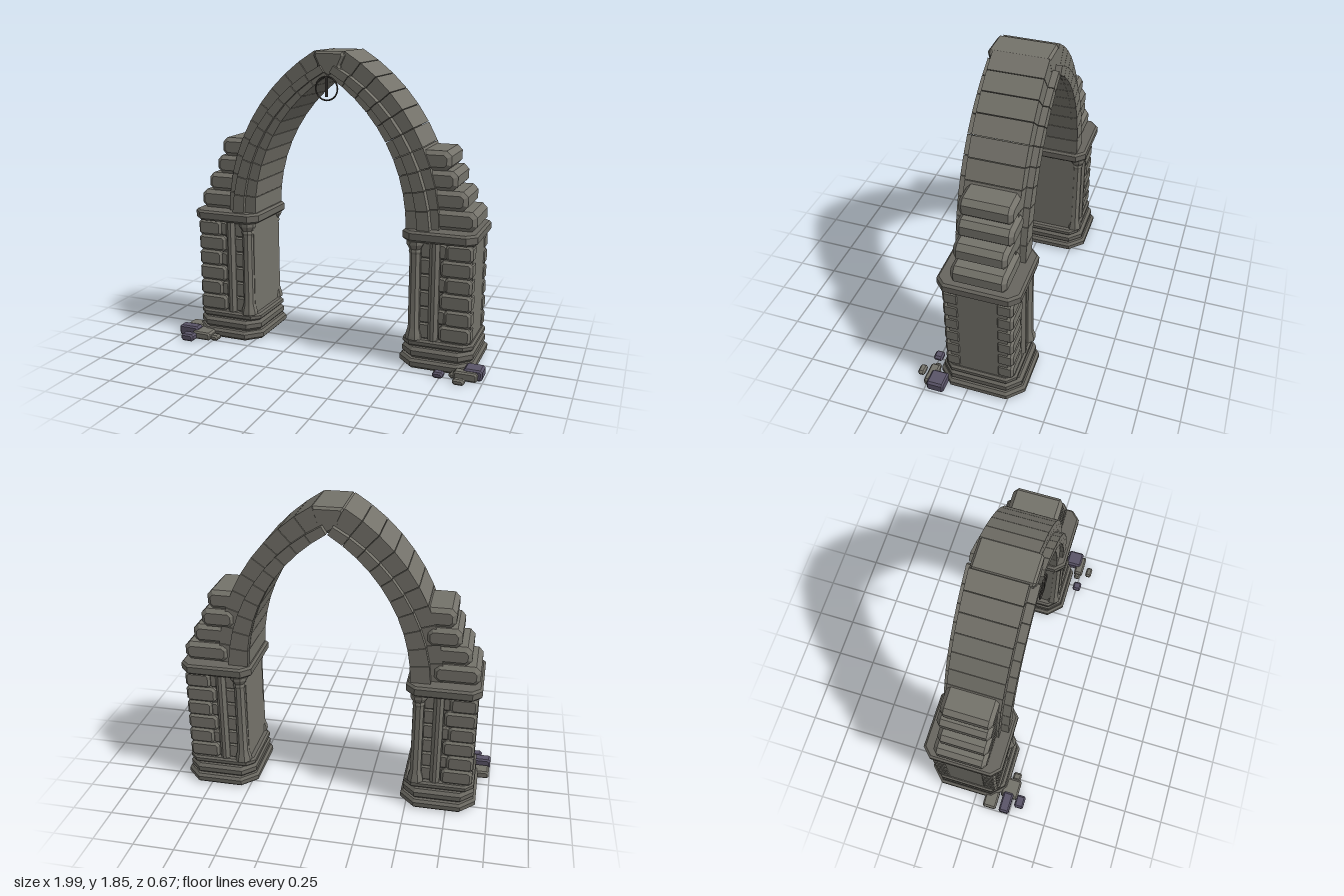
import * as THREE from 'three';
import { toCreasedNormals } from 'three/addons/utils/BufferGeometryUtils.js';

const MID_Z = -0.07;
const SPRING_Y = 0.835;
const ARC_X = 0.527; // each half arc is centred on the far side of the opening
const ARC_END = 58.6 * Math.PI / 180;

export function createModel() {
  const mat = (name, color) => {
    const m = new THREE.MeshStandardMaterial({ color });
    m.name = name;
    return m;
  };
  const stone = mat('grey stone', 0x74726a);
  const trim = mat('dark trim stone', 0x68665f);
  const slate = mat('purple slate', 0x5a5468);
  const iron = mat('dark iron', 0x45423e);

  const model = new THREE.Group();
  model.name = 'pointedArch';

  const add = (parent, name, geometry, material, x = 0, y = 0, z = 0) => {
    const mesh = new THREE.Mesh(geometry, material);
    mesh.name = name;
    mesh.position.set(x, y, z);
    parent.add(mesh);
    return mesh;
  };

  const group = (parent, name) => {
    const g = new THREE.Group();
    g.name = name;
    parent.add(g);
    return g;
  };

  // Extrudes an outline along z, centred, with one flat bevel
  const extrude = (points, depth, bevel = 0) => {
    const shape = new THREE.Shape(points.map(([x, y]) => new THREE.Vector2(x, y)));
    const g = new THREE.ExtrudeGeometry(shape, {
      depth: depth - 2 * bevel, bevelEnabled: bevel > 0, bevelSize: bevel,
      bevelOffset: -bevel, bevelThickness: bevel, bevelSegments: 1,
    });
    return g.translate(0, 0, -depth / 2 + bevel);
  };

  const cutRect = (w, h, c) => {
    const a = w / 2, b = h / 2;
    return [[a - c, -b], [a, -b + c], [a, b - c], [a - c, b],
      [-a + c, b], [-a, b - c], [-a, -b + c], [-a + c, -b]];
  };

  // Stone block with cut corners and bevelled ends
  const block = (w, h, d, c) => extrude(cutRect(w, h, c), d, c * 0.8);

  // Horizontal eight-sided slab
  const slab = (w, d, h, corner, bevel) =>
    extrude(cutRect(w, d, corner), h, bevel).rotateX(-Math.PI / 2);

  const columnProfile = [[0, 0.165], [0.052, 0.165], [0.05, 0.19], [0.036, 0.235],
    [0.034, 0.69], [0.04, 0.705], [0.036, 0.72], [0.054, 0.75], [0.054, 0.77], [0, 0.77]]
    .map(([r, y]) => new THREE.Vector2(r, y));
  const columnGeometry = toCreasedNormals(
    new THREE.LatheGeometry(columnProfile, 8, Math.PI / 8), 0.3);

  // Piers: plinth steps, body, cap, and dressed front and back faces
  const slabs = [
    ['plinth', 0, 0.057, 0.465, 0.53, 0.09, 0.015],
    ['plinthStep', 0.057, 0.122, 0.435, 0.49, 0.075, 0.018],
    ['plinthMoulding', 0.122, 0.166, 0.43, 0.44, 0.05, 0.012],
    ['pierCap', 0.77, 0.835, 0.445, 0.49, 0.055, 0.013],
  ];
  const buildPier = (s) => {
    const pier = group(model, s > 0 ? 'leftPier' : 'rightPier');
    for (const [name, y0, y1, w, d, corner, bevel] of slabs) {
      add(pier, name, slab(w, d, y1 - y0, corner, bevel), trim, s * 0.693, (y0 + y1) / 2, MID_Z);
    }
    add(pier, 'pierBody', new THREE.BoxGeometry(0.375, 0.61, 0.35), stone, s * 0.702, 0.468, MID_Z);
    for (const f of [1, -1]) {
      // outer courses of stones, alternating in length
      for (let i = 0; i < 6; i++) {
        const w = i % 2 ? 0.16 : 0.19;
        const y = 0.215 + i * 0.1;
        add(pier, 'courseStone', block(w, 0.102, 0.1, 0.018), stone,
          s * (0.895 - w / 2), y, MID_Z + f * 0.158);
        if (i % 2) {
          add(pier, 'fillerStone', block(0.05, 0.09, 0.08, 0.012), stone,
            s * 0.716, y, MID_Z + f * 0.158);
        }
        add(pier, 'recessStone', block(0.07, 0.1, 0.06, 0.012), stone,
          s * 0.612, y, MID_Z + f * 0.16);
      }
      add(pier, 'cornerColumn', columnGeometry, stone, s * 0.55, 0, MID_Z + f * 0.187);
      add(pier, 'sideShaft', slab(0.06, 0.08, 0.605, 0.02, 0.004), stone,
        s * 0.668, 0.467, MID_Z + f * 0.175);
    }
  };

  // Stepped stones leaning on the arch above each cap
  const buildSteps = (s) => {
    const steps = group(model, s > 0 ? 'leftSteps' : 'rightSteps');
    const outer = [0.897, 0.84, 0.777, 0.737];
    const inner = [0.62, 0.6, 0.57, 0.53];
    outer.forEach((x, i) => {
      const w = x - inner[i];
      add(steps, 'stepStone', block(w, 0.117, 0.325 - (i % 2) * 0.015, 0.03), stone,
        s * (x - w / 2), 0.893 + i * 0.115, -0.078 + (i % 2) * 0.008);
    });
  };

  // One row of wedge stones; radii run from springing to crown
  const buildRing = (s, name, inner, outer, z0, z1, count) => {
    const ring = group(model, name);
    const at = (radii, t) => {
      const r = THREE.MathUtils.lerp(radii[0], radii[1], t);
      const a = t * ARC_END;
      const x = Math.min(ARC_X - r * Math.cos(a), -0.004);
      return [-s * x, SPRING_Y + r * Math.sin(a)];
    };
    const gap = 0.0016;
    for (let i = 0; i < count; i++) {
      const t0 = i / count + gap;
      const t1 = (i + 1) / count - gap;
      const points = [at(inner, t0), at(outer, t0), at(outer, t1), at(inner, t1)];
      add(ring, 'wedgeStone', extrude(points, z1 - z0), stone, 0, 0, (z0 + z1) / 2);
    }
  };

  for (const s of [1, -1]) {
    buildPier(s);
    buildSteps(s);
    buildRing(s, 'archBody', [1.017, 1.017], [1.21, 1.187], -0.225, 0.1, 10);
    buildRing(s, 'backRing', [1.02, 1.017], [1.14, 1.07], -0.262, -0.225, 10);
    buildRing(s, 'frontInnerRing', [1.017, 1.017], [1.09, 1.045], 0.1, 0.125, 10);
    buildRing(s, 'frontOuterRing', [1.09, 1.045], [1.165, 1.09], 0.1, 0.148, 10);
  }

  // Keystone closing the crown
  const key = [[-0.085, 1.846], [-0.096, 1.82], [-0.07, 1.765], [-0.075, 1.74], [0, 1.695],
    [0.075, 1.74], [0.07, 1.765], [0.096, 1.82], [0.085, 1.846]];
  add(model, 'keystone', extrude(key, 0.355, 0.014), stone, 0.005, 0, -0.048);

  // Iron ring and pin hanging below the keystone
  add(model, 'hangingRing', new THREE.TorusGeometry(0.068, 0.005, 6, 28), iron, 0.005, 1.633, 0.152);
  add(model, 'ringPin', new THREE.BoxGeometry(0.012, 0.12, 0.014), iron, 0.005, 1.645, 0.152);

  // Fallen stones: x, z, width, height, depth, material
  const rubble = group(model, 'rubble');
  [
    [-0.935, 0.11, 0.12, 0.05, 0.09, stone],
    [-0.932, 0.213, 0.136, 0.068, 0.068, slate],
    [-0.898, 0.3, 0.085, 0.046, 0.062, slate],
    [-0.828, 0.218, 0.13, 0.05, 0.115, stone],
    [-0.74, 0.235, 0.055, 0.035, 0.055, stone],
    [0.938, 0.182, 0.112, 0.066, 0.105, slate],
    [0.9, 0.232, 0.14, 0.055, 0.06, stone],
    [0.832, 0.23, 0.06, 0.035, 0.042, stone],
    [0.742, 0.252, 0.064, 0.036, 0.056, slate],
    [0.875, 0.307, 0.07, 0.035, 0.042, stone],
  ].forEach(([x, z, w, h, d, m]) =>
    add(rubble, 'fallenStone', block(w, h, d, 0.012), m, x, h / 2, z));

  return model;
}
